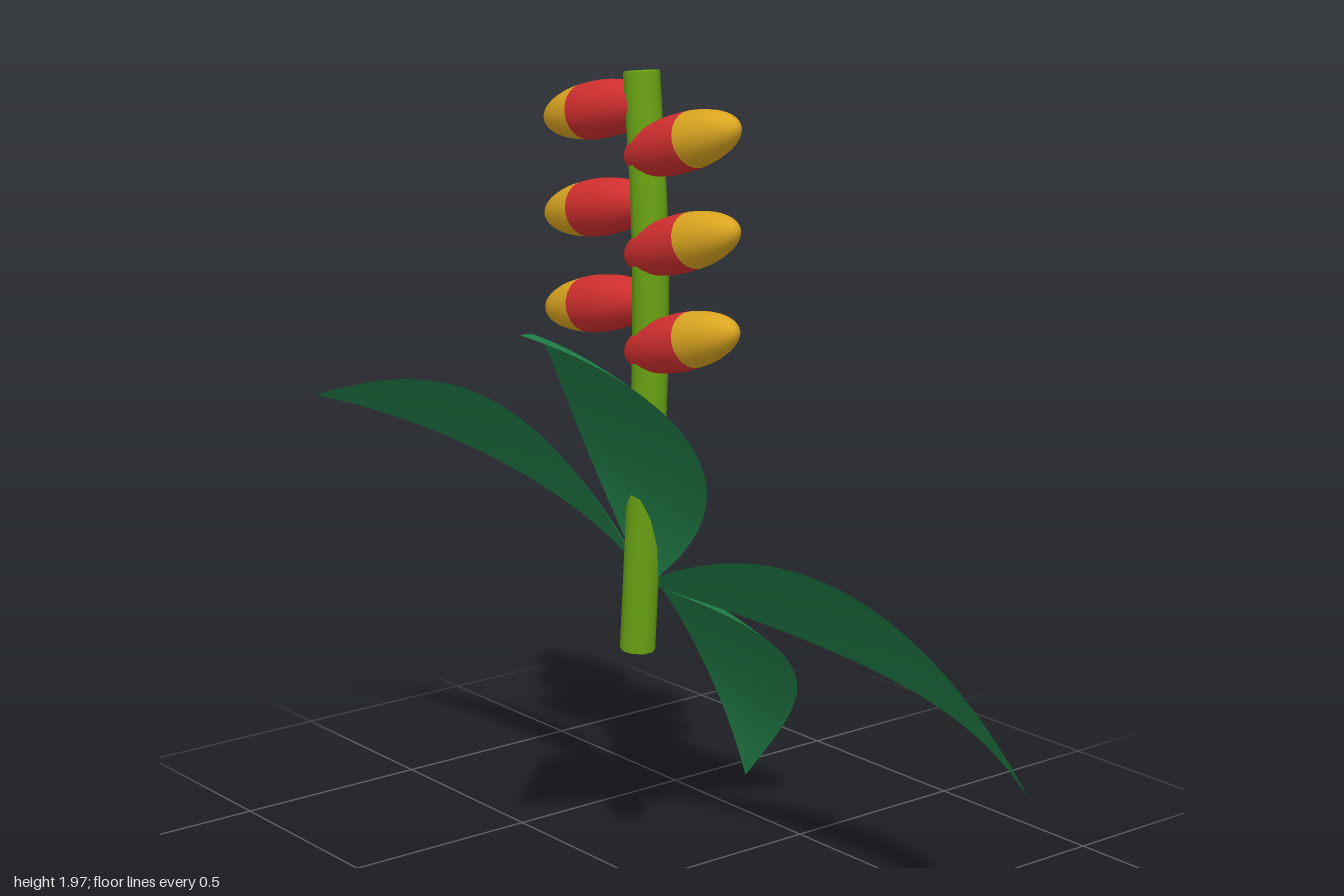
import * as THREE from 'three';
import { ParametricGeometry } from 'three/addons/geometries/ParametricGeometry.js';

const deg = THREE.MathUtils.degToRad;

function material(name, color, side = THREE.FrontSide) {
  const m = new THREE.MeshStandardMaterial({ color, side });
  m.name = name;
  return m;
}

function mesh(name, geometry, mat) {
  const m = new THREE.Mesh(geometry, mat);
  m.name = name;
  return m;
}

// Arched leaf running along +x, pointed at both ends, edges drooping slightly
function leafGeometry() {
  const length = 1.085, halfWidth = 0.2, arch = 0.162, droop = 0.015;
  return new ParametricGeometry((u, v, p) => {
    const s = v * 2 - 1;
    const w = Math.sin(Math.PI * Math.pow(u, 0.85));
    p.set(length * u, arch * 4 * u * (1 - u) - droop * s * s * w, -s * halfWidth * w);
  }, 28, 10);
}

export function createModel() {
  const model = new THREE.Group();
  model.name = 'tropicalFlower';

  const stemGreen = material('stem green', 0x6aa314);
  const leafGreen = material('leaf green', 0x22804a, THREE.DoubleSide);
  const red = material('bract red', 0xd32f2f);
  const yellow = material('tip yellow', 0xdaa520);

  // Gently bowed stem with closed ends
  const path = new THREE.CatmullRomCurve3([
    [0, 0.605], [0.025, 0.95], [0.047, 1.3], [0.045, 1.63], [0.016, 1.972],
  ].map(([x, y]) => new THREE.Vector3(x, y, 0.02)));
  const radius = 0.042, sides = 10;
  const stem = new THREE.Group();
  stem.name = 'stem';
  stem.add(mesh('stemTube', new THREE.TubeGeometry(path, 24, radius, sides), stemGreen));
  for (const t of [0, 1]) {
    const cap = mesh('stemCap', new THREE.CircleGeometry(radius, sides), stemGreen);
    cap.position.copy(path.getPoint(t));
    const dir = path.getTangent(t).multiplyScalar(t ? 1 : -1);
    cap.quaternion.setFromUnitVectors(new THREE.Vector3(0, 0, 1), dir);
    stem.add(cap);
  }
  model.add(stem);

  // Whorl of four leaves in a plane tipped backward
  const whorl = new THREE.Group();
  whorl.name = 'leafWhorl';
  whorl.position.set(0, 0.762, -0.008);
  whorl.rotation.x = deg(-48.6);
  const leafGeo = leafGeometry();
  for (let i = 0; i < 4; i++) {
    const leaf = mesh('leaf', leafGeo, leafGreen);
    leaf.rotation.y = -deg(-22.5 + 90 * i);
    whorl.add(leaf);
  }
  model.add(whorl);

  // Red bracts with yellow tips, three on each side
  const split = 1.33;
  const tipGeo = new THREE.SphereGeometry(1, 24, 10, 0, Math.PI * 2, 0, split);
  const bodyGeo = new THREE.SphereGeometry(1, 24, 14, 0, Math.PI * 2, split, Math.PI - split);
  function addBract(name, x, y, turn) {
    const bract = new THREE.Group();
    bract.name = name;
    bract.add(mesh('bractBody', bodyGeo, red), mesh('bractTip', tipGeo, yellow));
    bract.scale.set(0.067, 0.2, 0.067);
    bract.rotation.z = deg(turn);
    bract.position.set(x, y, 0.018);
    model.add(bract);
  }
  for (let i = 0; i < 3; i++) {
    addBract('leftBract', 0.158, 1.825 - 0.227 * i, -73);
    addBract('rightBract', -0.143, 1.868 - 0.227 * i, 102);
  }

  return model;
}
